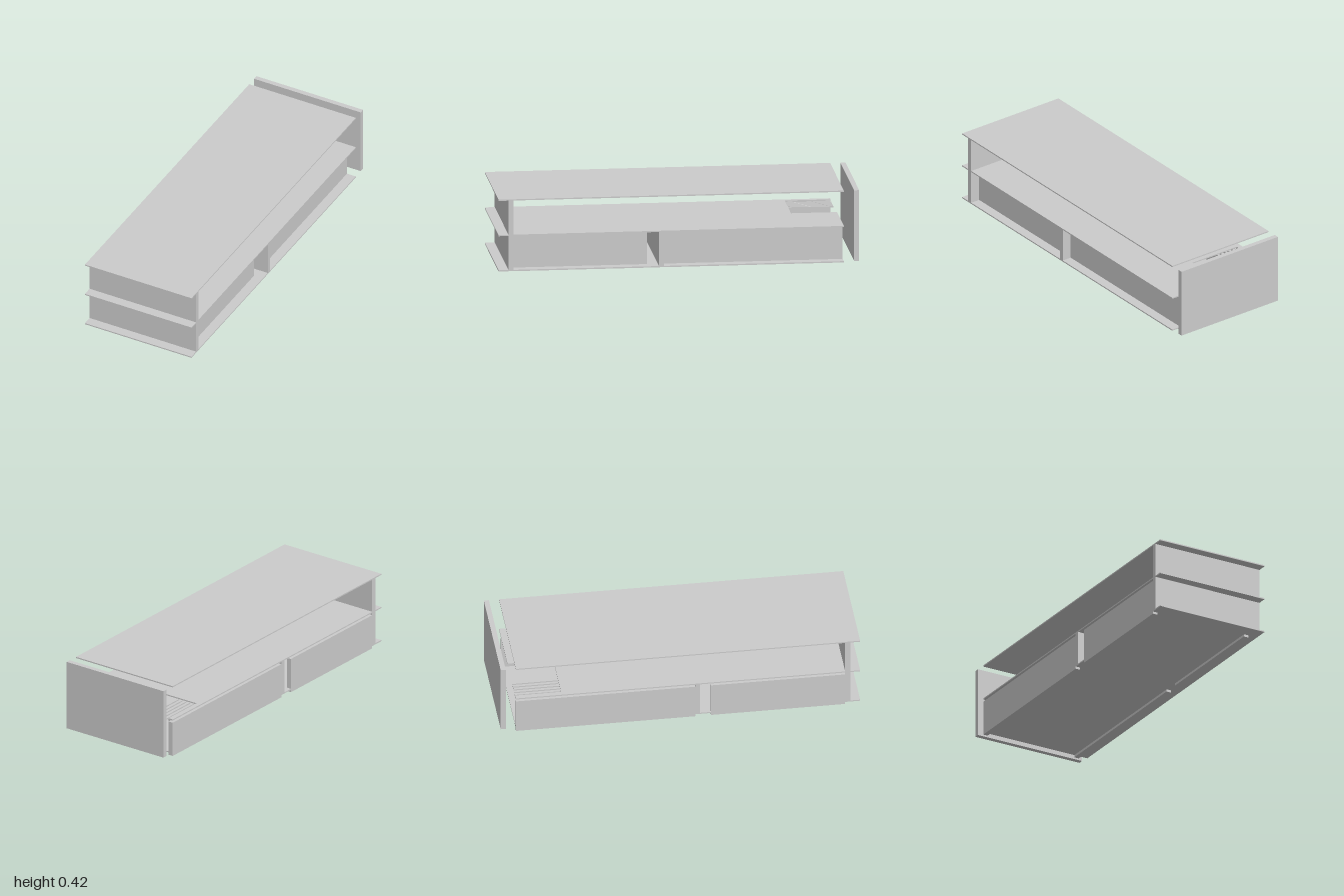
import * as THREE from 'three';

export function createModel() {
  const model = new THREE.Group();
  const material = new THREE.MeshStandardMaterial({ color: 0xcccccc, flatShading: true });
  const W = 0.333, BACK = -0.915;

  // Box given by its limits on each axis
  function board(name, x0, x1, y0, y1, z0, z1) {
    const mesh = new THREE.Mesh(new THREE.BoxGeometry(x1 - x0, y1 - y0, z1 - z0), material);
    mesh.position.set((x0 + x1) / 2, (y0 + y1) / 2, (z0 + z1) / 2);
    mesh.name = name;
    model.add(mesh);
  }

  // Full-size thin boards
  board('bottomShelf', -W, W, 0.0135, 0.0205, BACK, 1);
  board('topShelf', -W, W, 0.413, 0.42, BACK, 1);

  // Middle shelf with a rear cable opening
  const outline = new THREE.Shape([
    [-W, -1], [W, -1], [W, -BACK], [0, -BACK], [0, 0.66],
    [-0.305, 0.66], [-0.305, -BACK], [-W, -BACK],
  ].map(([x, y]) => new THREE.Vector2(x, y)));
  const shelfGeometry = new THREE.ExtrudeGeometry(outline, { depth: 0.007, bevelEnabled: false });
  shelfGeometry.rotateX(-Math.PI / 2);
  const middleShelf = new THREE.Mesh(shelfGeometry, material);
  middleShelf.position.y = 0.213;
  middleShelf.name = 'middleShelf';
  model.add(middleShelf);

  // Vent slats under the opening
  for (let i = 0; i < 6; i++) {
    const x = -0.315 + i * 0.026;
    board('ventSlat', x, x + 0.013, 0.206, 0.213, BACK, -0.66);
  }

  // Cross panels
  board('frontPanel', -W, W, 0.0205, 0.413, 0.917, 0.945);
  board('middleDivider', -W, W, 0.0205, 0.213, 0.083, 0.11);
  board('backPanel', -W, W, 0.02, 0.42, -1, -0.972);

  // Long panels: flush on one side, set back on the other
  for (const x of [-W, 0.25]) {
    board('frontSidePanel', x, x + 0.028, 0, 0.2, 0.17, 0.917);
    board('rearSidePanel', x, x + 0.028, 0, 0.2, BACK, 0.083);
  }

  return model;
}
